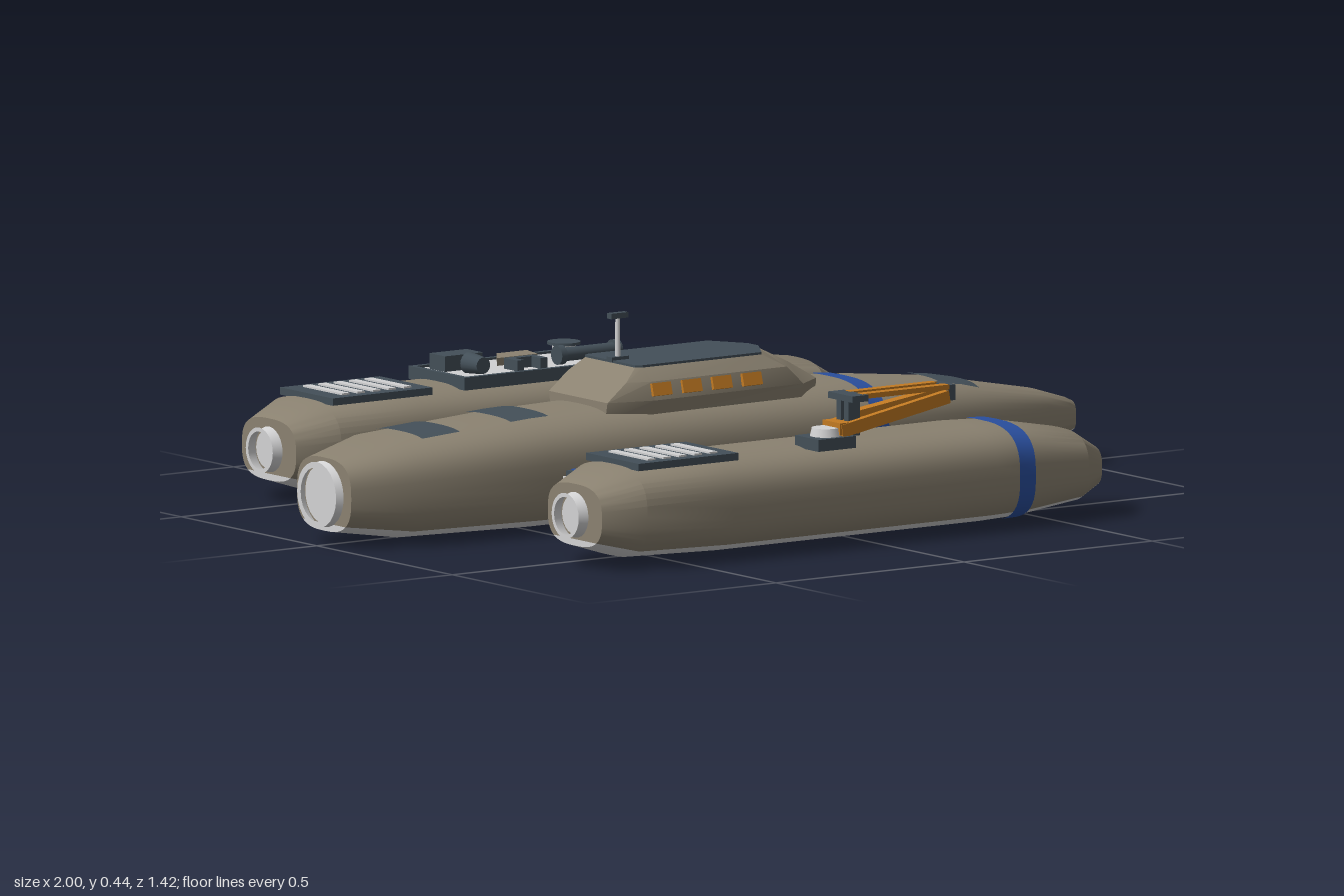
import * as THREE from 'three';
import { toCreasedNormals } from 'three/addons/utils/BufferGeometryUtils.js';

const material = (name, color, side = THREE.FrontSide) => {
  const m = new THREE.MeshStandardMaterial({ color, side });
  m.name = name;
  return m;
};
const tan = material('hull tan', 0x8a8170);
const dark = material('slate', 0x434f58);
const black = material('dark underside', 0x2a3037);
const light = material('light grey', 0xd2d2d3, THREE.DoubleSide);
const blue = material('blue', 0x2a4f9f);
const orange = material('orange', 0xc27a22);

function add(parent, name, geometry, mat, x = 0, y = 0, z = 0) {
  const mesh = new THREE.Mesh(geometry, mat);
  mesh.name = name;
  mesh.position.set(x, y, z);
  parent.add(mesh);
  return mesh;
}
const box = (p, name, mat, w, h, d, x, y, z) => add(p, name, new THREE.BoxGeometry(w, h, d), mat, x, y, z);
const cyl = (p, name, mat, r0, r1, h, x, y, z) => add(p, name, new THREE.CylinderGeometry(r0, r1, h, 20), mat, x, y, z);

// Square bar between two points
function bar(p, name, mat, a, b, h, d) {
  const dx = b[0] - a[0], dy = b[1] - a[1];
  const m = box(p, name, mat, Math.hypot(dx, dy), h, d, (a[0] + b[0]) / 2, (a[1] + b[1]) / 2, a[2]);
  m.rotation.z = Math.atan2(dy, dx);
}

// Skin over rings of equal point count, each end closed by a fan from its chord
function loft(rings, caps = true, crease = 0.45) {
  const pos = [], idx = [], n = rings[0].length, last = rings.length - 1;
  rings.forEach(r => r.forEach(v => pos.push(...v)));
  for (let i = 0; i < last; i++) for (let j = 0; j < n - 1; j++) {
    const a = i * n + j, b = a + n;
    idx.push(a, b, a + 1, b, b + 1, a + 1);
  }
  if (caps) for (const i of [0, last]) {
    const r = rings[i], c = pos.length / 3;
    pos.push(...[0, 1, 2].map(k => (r[0][k] + r[n - 1][k]) / 2));
    for (let j = 0; j < n - 1; j++) {
      const a = i * n + j;
      if (i === 0) idx.push(c, a, a + 1); else idx.push(c, a + 1, a);
    }
  }
  const g = new THREE.BufferGeometry();
  g.setAttribute('position', new THREE.Float32BufferAttribute(pos, 3));
  g.setIndex(idx);
  return toCreasedNormals(g, crease);
}

// Hull stations: [x, half width, bottom, top]
const N = 2.9;
const mainRows = [
  [-0.98, 0.1, 0.035, 0.195], [-0.83, 0.155, 0.012, 0.228], [-0.5, 0.172, 0.005, 0.248],
  [-0.2, 0.175, 0.005, 0.254], [0.3, 0.174, 0.005, 0.252], [0.45, 0.165, 0.01, 0.243],
  [0.65, 0.14, 0.022, 0.222], [0.9, 0.067, 0.055, 0.175], [0.98, 0.036, 0.069, 0.15], [1, 0.026, 0.074, 0.141]];
const podRows = (a, b) => [
  [-0.72, 0.1, 0.05, 0.185], [-0.63, 0.143, 0.022, 0.22], [-0.4, 0.147, 0.015, 0.226],
  [0.3, 0.147, 0.015, 0.226], [0.4, 0.143, 0.018, 0.222], [a, 0.113, 0.035, 0.192], [b, 0.05, 0.058, 0.148]];

function station(rows, x) {
  let i = 0;
  while (i < rows.length - 2 && rows[i + 1][0] < x) i++;
  const t = (x - rows[i][0]) / (rows[i + 1][0] - rows[i][0]);
  return rows[i].map((v, k) => v + (rows[i + 1][k] - v) * t);
}
// Part of a rounded-square cross-section, angles in degrees from the +z side
function section([x, w, y0, y1], from, to, grow = 0) {
  const steps = Math.round((to - from) / 7.5), pow = v => Math.sign(v) * Math.abs(v) ** (2 / N);
  return Array.from({ length: steps + 1 }, (_, i) => {
    const a = THREE.MathUtils.degToRad(from + (to - from) * i / steps);
    return [x, (y0 + y1) / 2 + ((y1 - y0) / 2 + grow) * pow(Math.sin(a)), (w + grow) * pow(Math.cos(a))];
  });
}

function hull(parent, name, rows, z, nozzleR0, nozzleR1, nozzleLen) {
  const g = new THREE.Group();
  g.name = name;
  g.position.z = z;
  parent.add(g);
  add(g, 'upperHull', loft(rows.map(r => section(r, -45, 225))), tan);
  add(g, 'lowerHull', loft(rows.map(r => section(r, 225, 315))), light);
  add(g, 'blueBand', loft([0.357, 0.4].map(x => section(station(rows, x), 0, 360, 0.003)), false), blue);
  // Stern nozzle
  const [x, , y0, y1] = rows[0], y = (y0 + y1) / 2;
  const n = add(g, 'nozzle', new THREE.CylinderGeometry(nozzleR0, nozzleR1, nozzleLen, 24, 1, true), light, x - nozzleLen / 2, y, 0);
  n.rotation.z = Math.PI / 2;
  const rim = add(g, 'nozzleRim', new THREE.RingGeometry(nozzleR1 * 0.82, nozzleR1, 24), light, x - nozzleLen, y, 0);
  const core = add(g, 'nozzleCore', new THREE.CircleGeometry(nozzleR0, 24), light, x - 0.004, y, 0);
  rim.rotation.y = core.rotation.y = -Math.PI / 2;
  return g;
}

// Deck plate that follows the hull
function deckPlate(g, rows, x0, x1, half) {
  const rings = [x0, (x0 + x1) / 2, x1].map(x => {
    const [, w, y0, y1] = station(rows, x);
    return Array.from({ length: 9 }, (_, i) => {
      const z = half * (1 - i / 4);
      return [x, (y0 + y1) / 2 + (y1 - y0) / 2 * (1 - Math.abs(z / w) ** N) ** (1 / N) + 0.004, z];
    });
  });
  add(g, 'deckPlate', loft(rings, false), dark);
}

function louvre(g) {
  box(g, 'louvrePanel', dark, 0.265, 0.016, 0.194, -0.488, 0.2235, 0);
  for (let i = 0; i < 5; i++) box(g, 'louvreSlat', light, 0.02, 0.005, 0.145, -0.568 + i * 0.041, 0.233, 0);
}

function cabin(g) {
  const ring = (y, half) => {
    const r = [...half.map(([x, z]) => [x, y, z]), ...half.slice().reverse().map(([x, z]) => [x, y, -z])];
    return [...r, r[0]];
  };
  const roof = [[0.16, 0.02], [0.11, 0.1], [-0.205, 0.1], [-0.22, 0.092]];
  add(g, 'cabin', loft([
    ring(0.225, [[0.27, 0.075], [0.2, 0.12], [-0.2, 0.125], [-0.305, 0.1]]),
    ring(0.265, [[0.27, 0.08], [0.2, 0.13], [-0.2, 0.137], [-0.305, 0.108]]),
    ring(0.305, [[0.205, 0.065], [0.16, 0.124], [-0.2, 0.127], [-0.255, 0.108]]),
    ring(0.333, roof)]), tan);
  add(g, 'cabinRoof', loft([ring(0.332, roof), ring(0.338, roof)], true, 0.3), dark);
  // Side windows
  for (const s of [-1, 1]) for (let i = 0; i < 4; i++) {
    const w = box(g, 'window', orange, 0.05, 0.028, 0.009, -0.18 + i * 0.08, 0.288, s * 0.133);
    w.rotation.x = -s * 0.28;
  }
  // Mast
  box(g, 'mastFoot', dark, 0.045, 0.01, 0.02, -0.2, 0.34, 0);
  cyl(g, 'mast', light, 0.005, 0.006, 0.1, -0.2, 0.385, 0);
  box(g, 'mastHead', dark, 0.045, 0.012, 0.016, -0.2, 0.434, 0);
}

function equipmentTray(g) {
  box(g, 'trayBase', dark, 0.5, 0.02, 0.208, -0.025, 0.228, 0);
  box(g, 'trayFloor', light, 0.475, 0.004, 0.185, -0.025, 0.239, 0);
  for (const s of [-1, 1]) {
    box(g, 'trayRail', dark, 0.5, 0.014, 0.012, -0.025, 0.239, s * 0.098);
    box(g, 'trayRail', dark, 0.012, 0.014, 0.208, -0.025 + s * 0.244, 0.239, 0);
  }
  box(g, 'crate', dark, 0.1, 0.036, 0.058, -0.193, 0.257, -0.042);
  const wedge = new THREE.Shape([[-0.102, -0.026], [0.005, -0.026], [0.017, 0.03], [-0.063, 0.03]].map(p => new THREE.Vector2(...p)));
  const w = add(g, 'wedgeBlock', new THREE.ExtrudeGeometry(wedge, { depth: 0.018, bevelEnabled: false }), tan, 0, 0.24, -0.042);
  w.rotation.x = -Math.PI / 2;
  cyl(g, 'pedestal', light, 0.026, 0.026, 0.028, 0.094, 0.254, -0.042);
  cyl(g, 'pedestalTop', dark, 0.036, 0.036, 0.006, 0.094, 0.271, -0.042);
  // Front row: lamp, bracket and roller
  const lamp = cyl(g, 'lamp', dark, 0.024, 0.018, 0.052, -0.203, 0.262, 0.047);
  lamp.rotation.x = -Math.PI / 2;
  box(g, 'bracket', dark, 0.08, 0.025, 0.016, -0.072, 0.252, 0.03);
  for (const s of [-1, 1]) box(g, 'bracketArm', dark, 0.018, 0.025, 0.042, -0.072 + s * 0.031, 0.252, 0.051);
  for (const [r, len, x] of [[0.015, 0.15, 0.09], [0.021, 0.015, 0.018], [0.021, 0.015, 0.165]])
    cyl(g, 'roller', dark, r, r, len, x, 0.262, 0.047).rotation.z = Math.PI / 2;
}

function crane(g) {
  const z = 0.085;
  box(g, 'craneBase', dark, 0.1, 0.026, 0.086, -0.115, 0.233, z);
  cyl(g, 'craneTurret', light, 0.03, 0.034, 0.018, -0.115, 0.255, z);
  box(g, 'boomFoot', orange, 0.05, 0.026, 0.066, -0.075, 0.262, z);
  for (const s of [-1, 1]) {
    box(g, 'cranePost', dark, 0.03, 0.085, 0.016, -0.055, 0.285, z + s * 0.014);
    bar(g, 'craneBoom', orange, [-0.095, 0.257, z + s * 0.027], [0.19, 0.307, z + s * 0.027], 0.028, 0.016);
    bar(g, 'craneTie', orange, [-0.04, 0.328, z + s * 0.022], [0.19, 0.328, z + s * 0.022], 0.011, 0.022);
  }
  box(g, 'craneYoke', dark, 0.042, 0.014, 0.09, -0.055, 0.326, z);
  bar(g, 'craneRam', orange, [-0.04, 0.285, z], [0.185, 0.315, z], 0.018, 0.026);
  box(g, 'craneHead', dark, 0.022, 0.034, 0.062, 0.197, 0.315, z);
}

export function createModel() {
  const model = new THREE.Group();
  model.name = 'trimaran';
  const main = hull(model, 'mainHull', mainRows, 0, 0.064, 0.072, 0.02);
  for (const [a, b] of [[-0.78, -0.68], [-0.545, -0.445], [0.6, 0.7]]) deckPlate(main, mainRows, a, b, 0.085);
  cabin(main);

  const rightPod = hull(model, 'rightPod', podRows(0.68, 0.765), -0.564, 0.042, 0.05, 0.026);
  const leftPod = hull(model, 'leftPod', podRows(0.565, 0.645), 0.564, 0.042, 0.05, 0.026);
  louvre(rightPod);
  louvre(leftPod);
  equipmentTray(rightPod);
  crane(leftPod);

  // Cross beams joining the hulls
  for (const x of [-0.408, 0.363]) for (const s of [-1, 1]) {
    const z = s * 0.295;
    box(model, 'crossBeam', light, 0.122, 0.05, 0.3, x, 0.104, z);
    box(model, 'beamUnderside', black, 0.118, 0.005, 0.3, x, 0.077, z);
    box(model, 'beamDeck', blue, 0.08, 0.014, 0.3, x, 0.136, z);
    for (const e of [-1, 1]) box(model, 'beamEdge', dark, 0.012, 0.014, 0.3, x + e * 0.047, 0.134, z);
  }
  return model;
}
